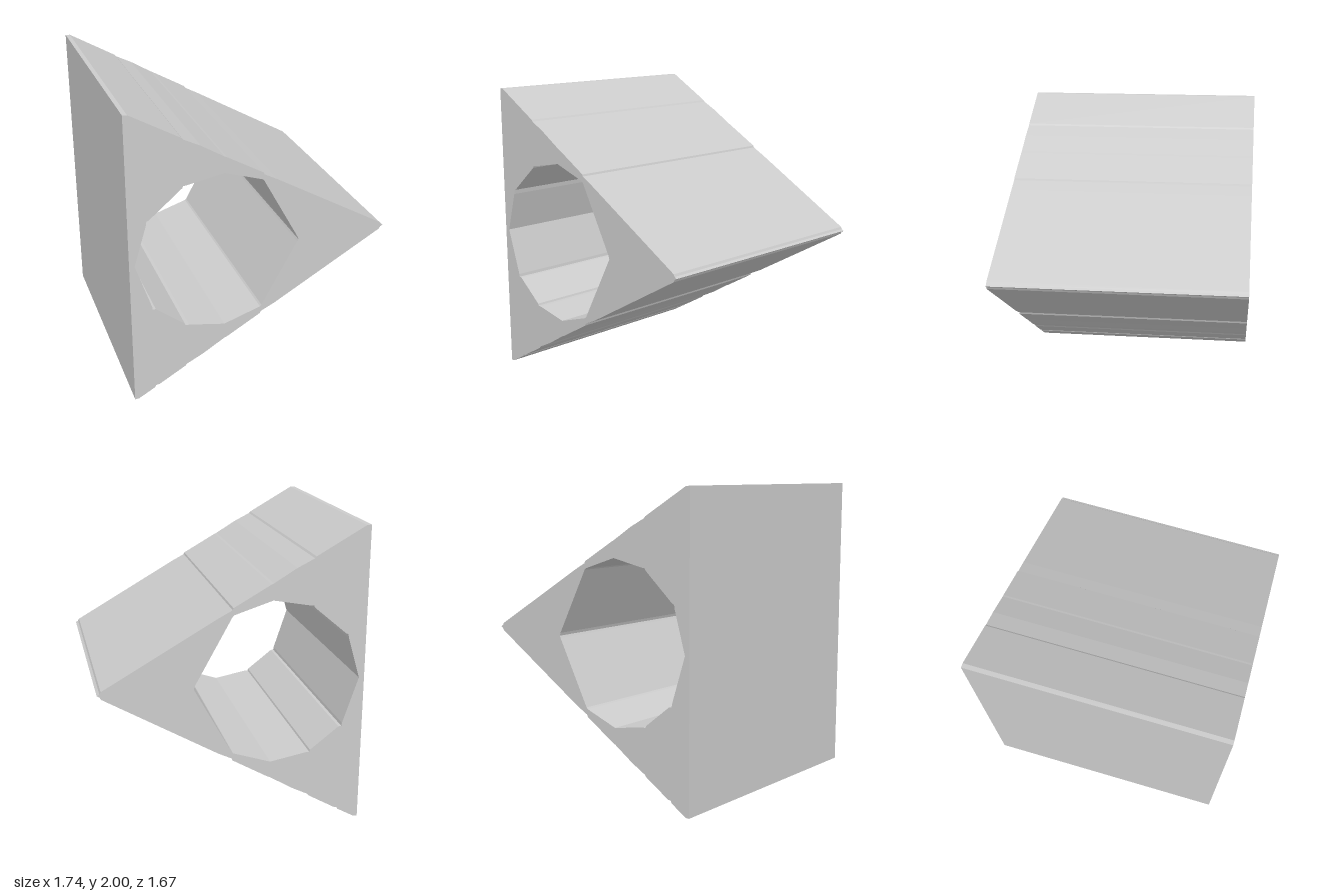
import * as THREE from 'three';

const DEPTH = 1.67;
const points = (list) => list.map(([x, y]) => new THREE.Vector2(x, y));

export function createModel() {
  const group = new THREE.Group();
  group.name = 'triangularPrism';

  // Triangular outline with small steps along the sloping sides
  const outline = new THREE.Shape(points([
    [-0.87, 0], [-0.845, 0], [-0.73, 0.065], [-0.725, 0.08], [-0.70, 0.083],
    [-0.52, 0.187], [-0.51, 0.2], [-0.40, 0.255], [-0.25, 0.347], [-0.23, 0.355],
    [0, 0.488], [0.005, 0.502], [0.10, 0.548], [0.84, 0.975],
    [0.848, 0.99], [0.865, 1], [0.848, 1.01], [0.84, 1.025],
    [0.10, 1.452], [0.01, 1.5], [0.005, 1.513], [-0.235, 1.65], [-0.25, 1.657],
    [-0.40, 1.748], [-0.51, 1.803], [-0.52, 1.815], [-0.84, 1.998], [-0.87, 2],
  ]));

  // Faceted bore running from front to back
  outline.holes.push(new THREE.Path(points([
    [-0.835, 1], [-0.755, 1.27], [-0.75, 1.3], [-0.735, 1.305], [-0.52, 1.488],
    [-0.515, 1.5], [-0.49, 1.503], [-0.25, 1.548], [0, 1.467], [0.01, 1.457],
    [0.25, 1.02], [0.257, 1], [0.25, 0.985], [0.01, 0.55], [0, 0.54],
    [-0.25, 0.458], [-0.49, 0.503], [-0.515, 0.505], [-0.52, 0.518],
    [-0.71, 0.668], [-0.73, 0.67], [-0.733, 0.69],
  ])));

  const geometry = new THREE.ExtrudeGeometry(outline, { depth: DEPTH, bevelEnabled: false });
  geometry.translate(0, 0, -DEPTH / 2);

  const body = new THREE.Mesh(
    geometry,
    new THREE.MeshStandardMaterial({ color: 0xcccccc, flatShading: true }),
  );
  body.name = 'boredPrismBody';
  group.add(body);
  return group;
}
